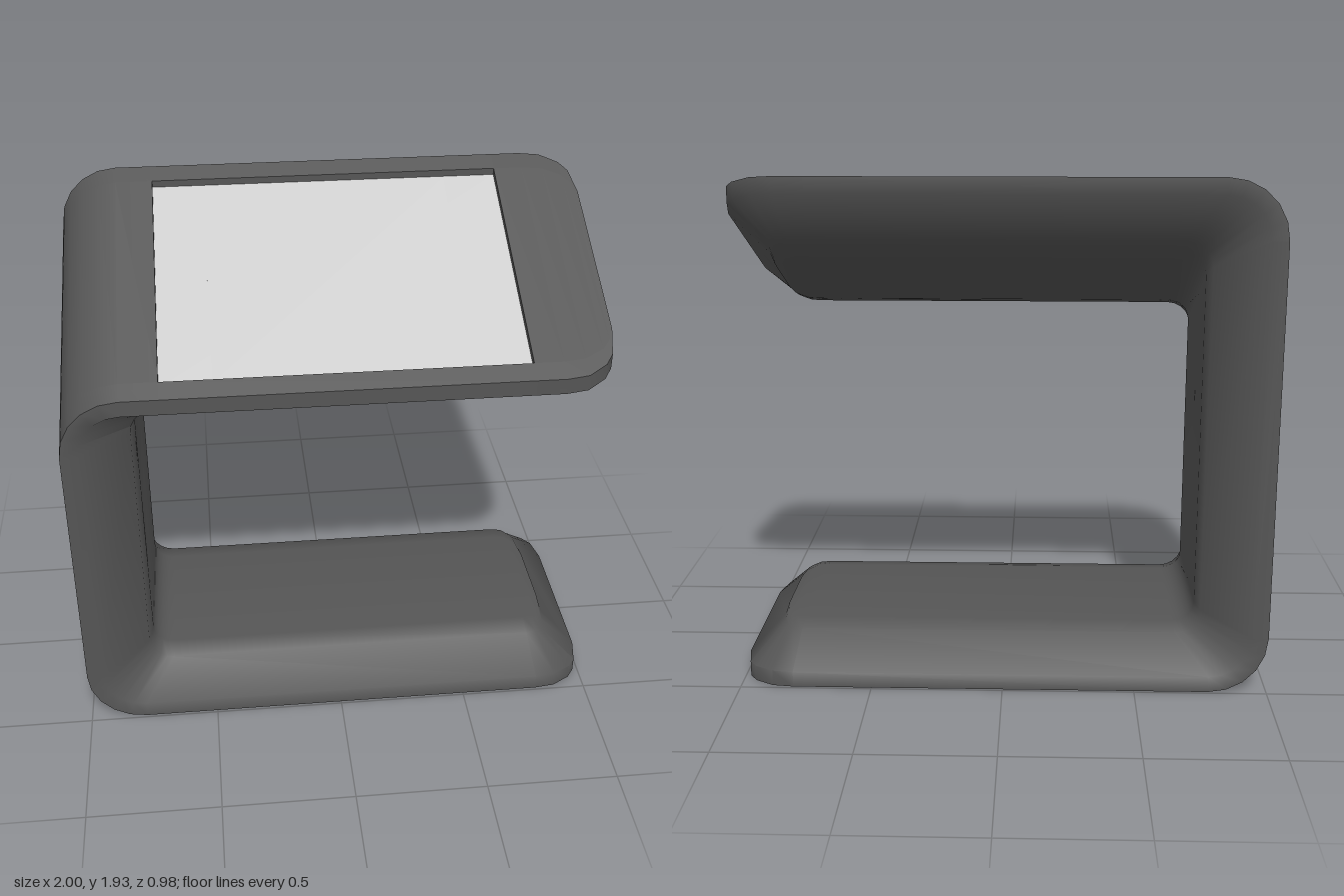
import * as THREE from 'three';
import { toCreasedNormals } from 'three/addons/utils/BufferGeometryUtils.js';

const SLOPE = 0.48;      // fall of the head towards the front
const HEAD_Y = 1.695;    // height of the head face at z = 0
const RECESS = 0.025;
const SCREEN = { x0: -0.64, x1: 0.69 };
const RIM = 0.86;        // recess half depth as a share of the half width

// One cross-section of the band: outer and inner points, the direction from
// outer to inner, half widths of both sides, and the amount of slope.
function station(ox, oy, ix, iy, nx, ny, slope, W = 0.49, Wi = 0.36) {
  const point = (x, y, z) => new THREE.Vector3(x, y - slope * z, z);
  const lip = z => point(ox + nx * 0.06, oy + ny * 0.06, z);
  const edge = z => point(ix - nx * 0.015, iy - ny * 0.015, z);
  const flat = Wi - 0.08;
  return [
    point(ox, oy, -W), point(ox, oy, -W * RIM), point(ox, oy, W * RIM), point(ox, oy, W),
    lip(W), edge(Wi), point(ix, iy, flat), point(ix, iy, -flat), edge(-Wi), lip(-W),
  ];
}

function bandGeometry() {
  // rounded tip in plan: outer x, outer half width, inner x, inner half width
  const tip = [
    [1, 0.3, 0.87, 0.22], [0.98, 0.4, 0.86, 0.29], [0.95, 0.44, 0.84, 0.325],
    [0.88, 0.48, 0.82, 0.35], [0.8, 0.49, 0.78, 0.36],
  ];
  const rings = [];
  const under = HEAD_Y - 0.19;
  const steps = 5;

  // base
  for (const [ox, W, ix, Wi] of tip) rings.push(station(ox, 0, ix, 0.2, 0, 1, 0, W, Wi));
  // lower bend
  for (let k = 0; k <= steps; k++) {
    const a = k / steps * Math.PI / 2, c = Math.cos(a), s = Math.sin(a);
    rings.push(station(-0.78 - 0.22 * s, 0.22 - 0.22 * c, -0.66 - 0.08 * s, 0.28 - 0.08 * c, s, c, 0));
  }
  // upper bend
  for (let k = 0; k <= steps; k++) {
    const a = k / steps * Math.PI / 2, c = Math.cos(a), s = Math.sin(a);
    rings.push(station(-0.78 - 0.22 * c, HEAD_Y - 0.22 + 0.22 * s,
      -0.66 - 0.08 * c, under - 0.08 + 0.08 * s, c, -s, SLOPE));
  }
  // head
  const recessAt = rings.length;
  rings.push(station(SCREEN.x0, HEAD_Y, -0.62, under, 0, -1, SLOPE));
  rings.push(station(SCREEN.x1, HEAD_Y, SCREEN.x1, under, 0, -1, SLOPE));
  for (const [ox, W, ix, Wi] of [...tip].reverse())
    rings.push(station(ox, HEAD_Y, ix, under, 0, -1, SLOPE, W, Wi));

  const pos = [];
  const quad = (a, b, c, d) => {
    for (const p of [a, b, c, a, c, d]) pos.push(p.x, p.y, p.z);
  };
  // skin, left open at the screen recess
  for (let j = 0; j < rings.length - 1; j++) {
    const A = rings[j], B = rings[j + 1], n = A.length;
    for (let k = 0; k < n; k++) {
      if (j === recessAt && k === 1) continue;
      const m = (k + 1) % n;
      quad(A[k], A[m], B[m], B[k]);
    }
  }
  // tip faces
  const S = rings[0], E = rings[rings.length - 1];
  for (const [a, b, c, d] of [[0, 3, 4, 9], [9, 4, 5, 8], [8, 5, 6, 7]]) {
    quad(S[b], S[a], S[d], S[c]);
    quad(E[a], E[b], E[c], E[d]);
  }
  // recess walls
  const A = rings[recessAt], B = rings[recessAt + 1];
  const hole = [A[1], A[2], B[2], B[1]];
  const low = p => p.clone().setY(p.y - RECESS - 0.01);
  hole.forEach((p, i) => {
    const q = hole[(i + 1) % 4];
    quad(p, q, low(q), low(p));
  });

  const g = new THREE.BufferGeometry();
  g.setAttribute('position', new THREE.Float32BufferAttribute(pos, 3));
  return toCreasedNormals(g, 0.95);
}

// Flat box lying in the slope of the head, its top sunk below the head face
function panelGeometry(x0, x1, halfDepth, sink, thickness) {
  const g = new THREE.BoxGeometry(x1 - x0, thickness, halfDepth * 2);
  g.translate((x0 + x1) / 2, HEAD_Y - sink - thickness / 2, 0);
  const p = g.attributes.position;
  for (let i = 0; i < p.count; i++) p.setY(i, p.getY(i) - SLOPE * p.getZ(i));
  g.computeVertexNormals();
  return g;
}

export function createModel() {
  const model = new THREE.Group();
  const dark = new THREE.MeshStandardMaterial({ color: 0x555555 });
  const light = new THREE.MeshStandardMaterial({ color: 0xcccccc });
  const add = (name, geometry, material) => {
    const mesh = new THREE.Mesh(geometry, material);
    mesh.name = name;
    model.add(mesh);
  };
  add('standBody', bandGeometry(), dark);
  const depth = 0.49 * RIM;
  add('screen', panelGeometry(SCREEN.x0, SCREEN.x1, depth, RECESS, 0.02), light);
  add('screenCentre', panelGeometry(-0.45, 0.49, depth - 0.008, RECESS - 0.003, 0.01), light);
  return model;
}
